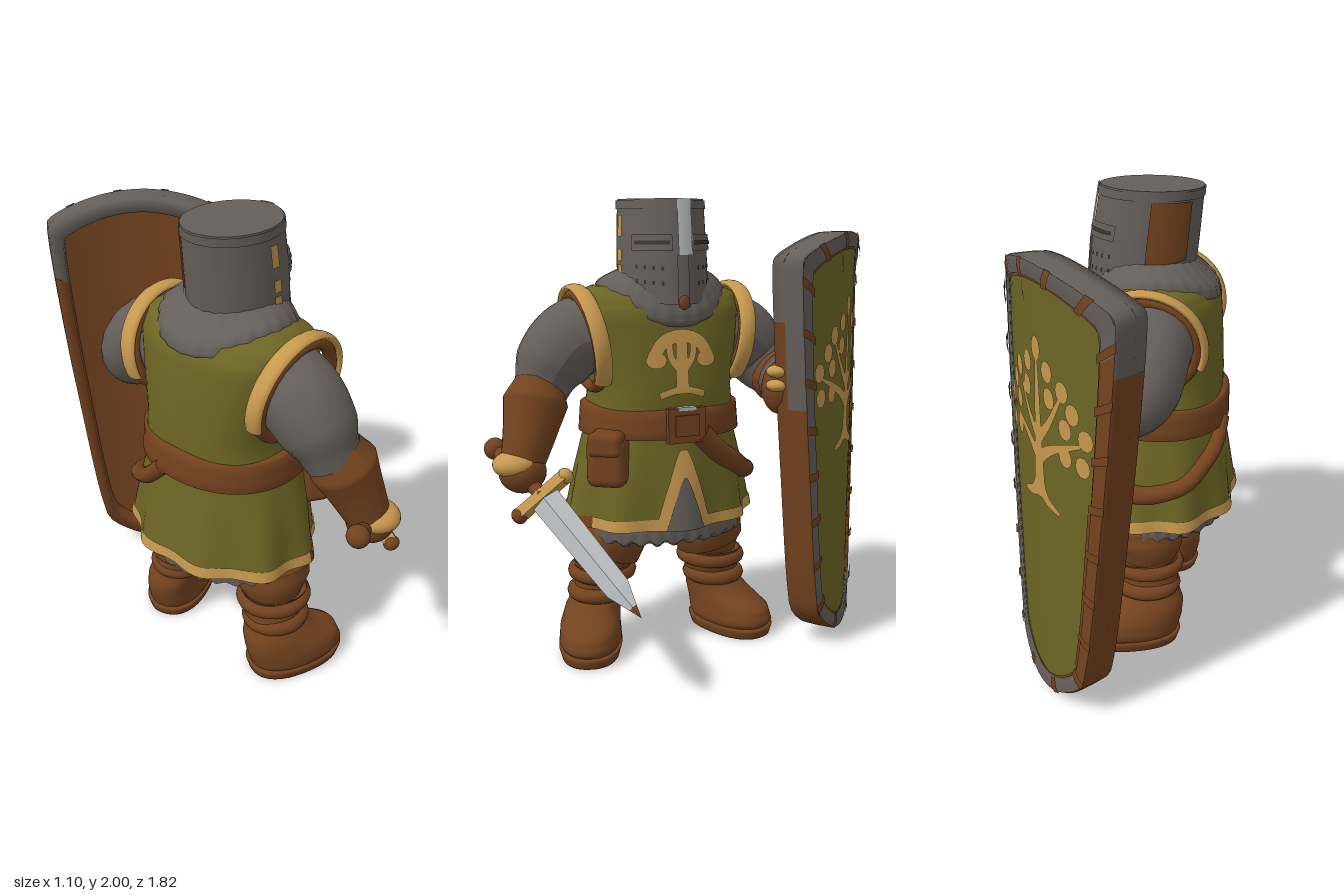
import * as THREE from 'three';
import { mergeVertices } from 'three/addons/utils/BufferGeometryUtils.js';
import { RoundedBoxGeometry } from 'three/addons/geometries/RoundedBoxGeometry.js';

const V = (x, y, z) => new THREE.Vector3(x, y, z);
const mat = (name, color) => new THREE.MeshStandardMaterial({ name, color, side: THREE.DoubleSide });
const rad = THREE.MathUtils.degToRad;

// Smooth grid surface from a rule f(u, v), both 0..1
function surface(f, nu, nv) {
  const pos = [], idx = [];
  for (let j = 0; j <= nv; j++) for (let i = 0; i <= nu; i++) pos.push(...f(i / nu, j / nv).toArray());
  for (let j = 0; j < nv; j++) for (let i = 0; i < nu; i++) {
    const a = j * (nu + 1) + i, b = a + nu + 1;
    idx.push(a, b, a + 1, b, b + 1, a + 1);
  }
  let g = new THREE.BufferGeometry();
  g.setAttribute('position', new THREE.Float32BufferAttribute(pos, 3));
  g.setIndex(idx);
  g = mergeVertices(g, 1e-4);
  g.computeVertexNormals();
  return g;
}

// Rounded body from sections [y, centreX, centreZ, radiusX, radiusZ]; angle 0 is the wearer's front (+x)
function loft(secs, { e = 1, mod = () => 1, dy = () => 0, n = 48 } = {}) {
  const section = y => {
    let i = 0;
    while (i < secs.length - 2 && y > secs[i + 1][0]) i++;
    const t = THREE.MathUtils.clamp((y - secs[i][0]) / (secs[i + 1][0] - secs[i][0]), 0, 1);
    return secs[i].map((v, k) => v + (secs[i + 1][k] - v) * t);
  };
  const pw = v => Math.sign(v) * Math.abs(v) ** e;
  const at = (a, y, out = 0) => {
    const [, cx, cz, rx, rz] = section(y), m = mod(a, y);
    return V(cx + (rx * m + out) * pw(Math.cos(a)), y + dy(a, y), cz + (rz * m + out) * pw(Math.sin(a)));
  };
  // Front of the body addressed by z and y
  const front = (z, y, out) => {
    const s = section(y), q = THREE.MathUtils.clamp((z - s[2]) / s[4], -1, 1);
    return at(Math.asin(Math.sign(q) * Math.abs(q) ** (1 / e)), y, out);
  };
  const N = (secs.length - 1) * 3;
  const yAt = v => {
    const k = Math.min(Math.floor(v * (secs.length - 1)), secs.length - 2), t = v * (secs.length - 1) - k;
    return secs[k][0] + (secs[k + 1][0] - secs[k][0]) * t;
  };
  return { at, front, geo: surface((u, v) => at(u * Math.PI * 2, yAt(v)), n, N) };
}
const patch = (at, a0, a1, y0, y1, out = 0.006) =>
  surface((u, v) => at(rad(a0 + (a1 - a0) * u), y0 + (y1 - y0) * v, out), Math.max(2, Math.ceil(Math.abs(a1 - a0) / 4)), 3);

// Painted stroke and leaf laid onto a surface map(a, b, out)
function stroke(map, pts, w0, w1, out = 0.007) {
  const c = new THREE.SplineCurve(pts.map(p => new THREE.Vector2(...p)));
  return surface((u, v) => {
    const p = c.getPoint(v), t = c.getTangent(v), w = (w0 + (w1 - w0) * v) * (u - 0.5);
    return map(p.x - t.y * w, p.y + t.x * w, out);
  }, 6, 14);
}
const leaf = (map, x, y, rx, ry, out = 0.008) =>
  surface((u, v) => map(x + rx * v * Math.cos(u * 6.2832), y + ry * v * Math.sin(u * 6.2832), out), 10, 2);

// Tube with a varying radius
function limb(pts, radii, sides = 20) {
  const c = new THREE.CatmullRomCurve3(pts.map(p => V(...p))), N = 28;
  const g = new THREE.TubeGeometry(c, N, 1, sides), p = g.attributes.position, v = V();
  for (let i = 0; i < p.count; i++) {
    const t = Math.floor(i / (sides + 1)) / N, o = c.getPointAt(t);
    const k = Math.min(Math.floor(t * (radii.length - 1)), radii.length - 2), f = t * (radii.length - 1) - k;
    v.fromBufferAttribute(p, i).sub(o).multiplyScalar(radii[k] + (radii[k + 1] - radii[k]) * f).add(o);
    p.setXYZ(i, v.x, v.y, v.z);
  }
  g.computeVertexNormals();
  return g;
}

export function createModel() {
  const root = new THREE.Group();
  root.name = 'knight';
  const iron = mat('iron', 0x655f5a), cloth = mat('olive cloth', 0x6c6524), gold = mat('gold', 0xc6984e);
  const leather = mat('leather', 0x74431f), steel = mat('steel', 0xb6babd), dark = mat('dark iron', 0x3b3633);
  const add = (name, geo, m, parent = root, p = [0, 0, 0], s = [1, 1, 1], r = [0, 0, 0]) => {
    const o = new THREE.Mesh(geo, m);
    o.name = name;
    o.position.set(...p); o.scale.set(...s); o.rotation.set(...r);
    parent.add(o);
  };
  const ball = new THREE.SphereGeometry(1, 20, 14);

  // Tunic body and skirt over a mail skirt
  const torso = loft([[1.02, -0.19, 0.12, 0.28, 0.33], [1.2, -0.185, 0.12, 0.285, 0.305], [1.4, -0.185, 0.13, 0.27, 0.345],
    [1.53, -0.185, 0.14, 0.255, 0.37], [1.6, -0.185, 0.14, 0.205, 0.36], [1.635, -0.185, 0.14, 0.12, 0.28], [1.65, -0.185, 0.14, 0.005, 0.005]], { e: 0.75 });
  add('tunic', torso.geo, cloth);
  const skirt = loft([[0.6, -0.21, 0.12, 0.335, 0.43], [0.8, -0.2, 0.12, 0.315, 0.395], [1.04, -0.19, 0.12, 0.285, 0.335]],
    { mod: (a, y) => 1 + 0.1 * (1.04 - y) * Math.cos(a * 9), n: 96 });
  add('skirt', skirt.geo, cloth);
  add('skirtHem', patch(skirt.at, 82, 422, 0.6, 0.65), gold);
  add('skirtHemPatch', patch(skirt.at, 62, 82, 0.6, 0.65), leather);
  add('splitBorder', stroke(skirt.front, [[0.125, 0.95], [0.125, 0.78], [0.125, 0.6]], 0.03, 0.28, 0.008), gold);
  add('splitMail', stroke(skirt.front, [[0.125, 0.83], [0.125, 0.72], [0.125, 0.6]], 0.01, 0.18, 0.014), iron);
  add('mailSkirt', loft([[0.525, -0.2, 0.12, 0.005, 0.005], [0.53, -0.2, 0.12, 0.28, 0.36], [0.55, -0.2, 0.12, 0.31, 0.39], [0.75, -0.2, 0.12, 0.3, 0.37]],
    { mod: a => 1 + 0.01 * Math.cos(a * 40), dy: (a, y) => y < 0.57 && y > 0.527 ? 0.01 * Math.cos(a * 30) - 0.005 : 0, n: 160 }).geo, iron);

  // Flat armhole trims with a leather lining inside
  for (const s of [1, -1]) {
    const band = (a, b, size, thick, wide) => surface((u, v) => {
      const t = rad(a + (b - a) * u), w = v * 6.2832, r = size + thick * Math.cos(w);
      return V(-0.18 + r * 1.06 * Math.cos(t), 1.4 + r * Math.sin(t), 0.135 + s * (0.33 + 0.035 * Math.sin(t) + wide * Math.sin(w)));
    }, 40, 10);
    add('armholeTrim', band(-45, 200, 0.23, 0.016, 0.038), gold);
    add('armholeLining', band(0, 360, 0.2, 0.024, 0.03), leather);
  }

  // Chest emblem
  const T = torso.front, cz = 0.125;
  add('chestTrunk', stroke(T, [[cz, 1.19], [cz, 1.3], [cz, 1.42]], 0.06, 0.05), gold);
  add('chestRoots', stroke(T, [[cz - 0.1, 1.185], [cz, 1.21], [cz + 0.1, 1.185]], 0.03, 0.03), gold);
  add('chestCrown', stroke(T, [[cz - 0.125, 1.34], [cz - 0.08, 1.41], [cz, 1.435], [cz + 0.08, 1.41], [cz + 0.125, 1.34]], 0.055, 0.055), gold);
  for (const s of [1, -1]) {
    add('chestBranch', stroke(T, [[cz, 1.28], [cz + s * 0.045, 1.34], [cz + s * 0.055, 1.41]], 0.03, 0.03), gold);
    add('chestLeaf', leaf(T, cz + s * 0.11, 1.335, 0.045, 0.035), gold);
  }

  // Belt, buckle, pouch and hanging strap
  add('belt', loft([[0.995, -0.19, 0.12, 0.28, 0.33], [1.0, -0.19, 0.12, 0.315, 0.36], [1.12, -0.19, 0.12, 0.31, 0.35], [1.13, -0.19, 0.12, 0.27, 0.31]], { e: 0.92 }).geo, leather);
  add('buckleFrame', new THREE.BoxGeometry(0.03, 0.15, 0.17), leather, root, [0.125, 1.06, 0.12]);
  add('bucklePlate', new THREE.BoxGeometry(0.03, 0.09, 0.11), leather, root, [0.134, 1.06, 0.12]);
  add('buckleShine', new THREE.BoxGeometry(0.03, 0.015, 0.08), steel, root, [0.13, 1.132, 0.12]);
  const pouch = new THREE.Group();
  pouch.name = 'pouch'; pouch.position.set(0.01, 0.91, 0.43); pouch.rotation.y = -0.6; root.add(pouch);
  add('pouchBag', new RoundedBoxGeometry(0.13, 0.22, 0.17, 3, 0.04), leather, pouch);
  add('pouchFlap', new RoundedBoxGeometry(0.145, 0.11, 0.15, 3, 0.03), leather, pouch, [0, 0.075, 0]);
  const strapPts = [];
  for (let i = 0; i <= 10; i++) strapPts.push(skirt.at(rad(-12 - 15.5 * i), 1.02 - 0.25 * Math.sin(Math.PI * i / 10) ** 0.8, 0.01).toArray());
  add('hangingStrap', limb(strapPts, [0.05, 0.045, 0.035, 0.035]), leather);

  // Mail collar
  add('mailCollar', loft([[1.5, -0.17, 0.12, 0.25, 0.26], [1.515, -0.17, 0.12, 0.275, 0.285], [1.56, -0.165, 0.12, 0.27, 0.275], [1.62, -0.15, 0.12, 0.235, 0.24], [1.69, -0.14, 0.12, 0.19, 0.18]],
    { mod: a => 1 + 0.012 * Math.cos(a * 26), dy: (a, y) => (-0.03 * Math.cos(a) + 0.085 * Math.sin(a) ** 2) * Math.min(1, (1.72 - y) / 0.15), n: 104 }).geo, iron);

  // Great helm
  const helm = loft([[1.61, -0.115, 0.125, 0.22, 0.192], [1.76, -0.125, 0.125, 0.22, 0.19], [1.995, -0.15, 0.12, 0.212, 0.18]], {
    mod: (a, y) => 1 + (0.07 - 0.1 * Math.max(0, y - 1.6)) * Math.max(0, Math.cos(a)) ** 12,
    dy: (a, y) => -0.045 * Math.cos(a) * THREE.MathUtils.clamp((1.78 - y) / 0.17, 0, 1), n: 72 });
  add('helm', helm.geo, iron);
  add('helmTop', surface((u, v) => helm.at(u * 6.28319, 1.995).lerp(V(-0.15, 1.99, 0.12), v), 72, 2), iron);
  add('helmBand', patch(helm.at, 0, 360, 1.955, 1.99, 0.005), iron);
  add('helmRidge', patch(helm.at, -14, 5, 1.77, 1.995, 0.009), steel);
  add('helmNose', patch(helm.at, -7, 7, 1.6, 1.77, 0.009), iron);
  add('helmPoint', ball, leather, root, [0.125, 1.575, 0.125], [0.015, 0.03, 0.025]);
  add('helmPatch', patch(helm.at, -146, -98, 1.69, 1.95), leather);
  for (const [y, h] of [[1.69, 0.035], [1.74, 0.05], [1.84, 0.09]]) add('helmGoldStrip', patch(helm.at, 82, 93, y, y + h), gold);
  for (const s of [1, -1]) {
    add('eyeFrame', patch(helm.at, s * 12, s * 62, 1.785, 1.85, 0.009), iron);
    add('eyeSlit', patch(helm.at, s * 15, s * 58, 1.81, 1.826, 0.013), dark);
    for (let i = 0; i < 8; i++) {
      const a = 22 + (i % 4) * 11, y = 1.67 + Math.floor(i / 4) * 0.05;
      add('breathHole', patch(helm.at, s * a, s * (a + 3), y, y + 0.014, 0.004), dark);
    }
  }

  // Legs and boots, toes turned outward
  for (const s of [1, -1]) {
    const leg = new THREE.Group();
    leg.name = s > 0 ? 'rightLeg' : 'leftLeg';
    leg.position.set(-0.19, 0, 0.13 + s * 0.33); leg.rotation.y = -s * 0.35; root.add(leg);
    add('thigh', limb([[-0.02, 0.62, -s * 0.1], [-0.02, 0.52, -s * 0.09], [-0.02, 0.43, -s * 0.06], [0, 0.36, -s * 0.05]], [0.14, 0.17, 0.16, 0.1]), leather, leg);
    add('boot', loft([[0.03, 0.05, 0, 0.2, 0.12], [0.07, 0.06, 0, 0.225, 0.14], [0.13, 0.04, 0, 0.22, 0.135],
      [0.19, -0.02, -s * 0.01, 0.165, 0.125], [0.25, -0.04, -s * 0.03, 0.125, 0.11], [0.33, -0.03, -s * 0.05, 0.13, 0.115], [0.4, -0.02, -s * 0.06, 0.145, 0.13]], { e: 0.9 }).geo, leather, leg);
    add('sole', loft([[0, 0.055, 0, 0.005, 0.005], [0.001, 0.055, 0, 0.215, 0.13], [0.045, 0.055, 0, 0.228, 0.142], [0.05, 0.055, 0, 0.19, 0.12]], { e: 0.85 }).geo, leather, leg);
    for (const [y, r, z] of [[0.36, 0.12, -0.055], [0.265, 0.105, -0.035]])
      add('bootBand', new THREE.TorusGeometry(r, 0.035, 10, 28), leather, leg, [-0.025, y, s * z], [1.08, 1, 1], [Math.PI / 2, 0, 0]);
  }

  // Sword arm
  add('rightSleeve', limb([[-0.2, 1.43, 0.38], [-0.21, 1.41, 0.5], [-0.21, 1.31, 0.6], [-0.19, 1.17, 0.67]], [0.16, 0.175, 0.17, 0.165, 0.155, 0.125, 0.11]), iron);
  add('rightGauntlet', limb([[-0.185, 1.24, 0.665], [-0.17, 1.19, 0.68], [-0.12, 1.04, 0.73], [-0.08, 0.9, 0.78]], [0.1, 0.138, 0.12, 0.105, 0.09]), leather);
  add('rightHand', ball, leather, root, [-0.07, 0.88, 0.78], [0.1, 0.09, 0.1]);
  add('rightKnuckles', ball, gold, root, [-0.07, 0.915, 0.805], [0.095, 0.06, 0.1]);

  // Sword: local y runs along the blade, local x along the guard
  const sword = new THREE.Group(), blade = V(0.48, -0.37, -0.23).normalize(), side = V(0.08, 0.15, -0.25);
  const flat = side.clone().cross(blade).normalize();
  sword.name = 'sword';
  sword.setRotationFromMatrix(new THREE.Matrix4().makeBasis(blade.clone().cross(flat), blade, flat));
  sword.position.set(0.05, 0.8, 0.73); root.add(sword);
  const facet = (r0, r1, h) => {
    const g = new THREE.CylinderGeometry(r0, r1, h, 4).toNonIndexed();
    g.computeVertexNormals();
    return g;
  };
  add('blade', facet(0.052, 0.064, 0.52), steel, sword, [0, 0.26, 0], [1, 1, 0.38]);
  add('bladeTaper', facet(0.018, 0.052, 0.1), steel, sword, [0, 0.57, 0], [1, 1, 0.38]);
  add('bladeTip', facet(0, 0.018, 0.055), leather, sword, [0, 0.6475, 0], [1, 1, 0.38]);
  add('guard', new THREE.BoxGeometry(0.24, 0.045, 0.055), gold, sword);
  for (const s of [1, -1]) add('guardEnd', ball, s > 0 ? gold : leather, sword, [s * 0.125, 0, 0], [0.03, 0.035, 0.035]);
  add('grip', limb([[0.05, 0.8, 0.73], [-0.1, 0.88, 0.79], [-0.25, 0.94, 0.845]], [0.03, 0.03]), leather);
  add('pommel', ball, leather, root, [-0.26, 0.945, 0.85], [0.045, 0.048, 0.048]);

  // Shield arm
  add('leftSleeve', limb([[-0.2, 1.43, -0.1], [-0.21, 1.4, -0.28], [-0.2, 1.28, -0.4], [-0.09, 1.2, -0.445], [0.08, 1.2, -0.42]], [0.16, 0.175, 0.16, 0.14, 0.1, 0.08]), iron);
  add('armStrap', limb([[-0.12, 1.21, -0.442], [-0.06, 1.2, -0.447]], [0.13, 0.13]), leather);
  add('leftGauntlet', limb([[0.03, 1.2, -0.43], [0.08, 1.2, -0.41], [0.14, 1.21, -0.35], [0.17, 1.22, -0.28]], [0.05, 0.12, 0.11, 0.095, 0.03]), leather);
  add('leftHand', ball, leather, root, [0.18, 1.2, -0.3], [0.085, 0.115, 0.08]);
  for (const y of [1.22, 1.28]) add('leftKnuckles', ball, gold, root, [0.225, y, -0.262], [0.048, 0.028, 0.05]);

  // Curved shield: s runs across, y up, d outward from the face
  const shield = new THREE.Group();
  shield.name = 'shield'; root.add(shield);
  const S = (s, y, d = 0) => {
    const h = 0.1 * (1 - (s / 0.43) ** 2) + d, a = s + 0.45 * s * d;
    return V(0.06 + 0.68 * a + 0.73 * h, y, -0.59 + 0.73 * a - 0.68 * h);
  };
  const half = [[0.1, 0.05], [0.25, 0.16], [0.285, 0.28], [0.355, 0.87], [0.395, 1.3], [0.42, 1.7], [0.415, 1.755], [0.37, 1.785], [0.2, 1.84]];
  const loop = [[0, 0.03], ...half, [0, 1.862], ...half.map(([s, y]) => [-s, y]).reverse()];
  const outline = new THREE.CatmullRomCurve3(loop.map(([s, y]) => V(s, y, 0)), true, 'centripetal');
  const ring = (u, k, d) => {
    const p = outline.getPointAt((u + 1) % 1);
    return S(p.x * (1 - 0.16 * k), 0.95 + (p.y - 0.95) * (1 - 0.075 * k), d);
  };
  const panel = d => surface((u, v) => {
    const p = outline.getPointAt(u % 1);
    return S(p.x * 0.9 * v, 0.95 + (p.y - 0.95) * 0.95 * v, d);
  }, 96, 10);
  add('shieldField', panel(0), cloth, shield);
  add('shieldBack', panel(-0.07), leather, shield);
  const rim = (u0, u1, prof, n = 64) => surface((u, v) => {
    const t = v * (prof.length - 1), i = Math.min(Math.floor(t), prof.length - 2), f = t - i;
    return ring(u0 + (u1 - u0) * u, prof[i][0] + (prof[i + 1][0] - prof[i][0]) * f, prof[i][1] + (prof[i + 1][1] - prof[i][1]) * f);
  }, n, prof.length - 1);
  const face = [[1, 0], [0.95, 0.014], [0.08, 0.014]], edge = [[0.08, 0.014], [0, 0.004], [0, -0.07]];
  const back = [[0, -0.07], [0.05, -0.125], [0.9, -0.125], [1, -0.07]];
  add('shieldRim', rim(-0.06, 0.62, face), iron, shield);
  add('shieldRimLeather', rim(0.62, 0.94, face), leather, shield);
  for (const [part, prof, u] of [['shieldEdge', edge, 0.27], ['shieldRimBack', back, 0.35]]) {
    add(part, rim(-0.36, u, prof), leather, shield);
    add(part + 'Top', rim(u, 0.64, prof), iron, shield);
  }
  add('shieldInnerLine', rim(0, 0.999999, [[0.98, 0.005], [1.12, 0.005]], 96), leather, shield);
  add('shieldWornEdge', rim(0.76, 0.93, [[0.98, 0.006], [1.3, 0.006]], 24), leather, shield);
  for (let i = 0; i < 22; i++) add('shieldClasp', rim(i / 22 + 0.02, i / 22 + 0.028, [[1.05, 0.02], [0.45, 0.024], [0, 0.016]], 2), leather, shield);
  add('shieldGrip', limb([S(0.3, 1.12, -0.08), S(0.3, 1.22, -0.16), S(0.3, 1.32, -0.08)].map(p => p.toArray()), [0.025, 0.025]), leather, shield);

  // Shield tree
  add('treeTrunk', stroke(S, [[0, 0.93], [0, 1.15], [0, 1.5]], 0.1, 0.02), gold, shield);
  add('shieldFleck', stroke(S, [[0.1, 1.69], [0.1, 1.76]], 0.014, 0.014), gold, shield);
  const leaves = [[0.075, 1.47], [0.165, 1.42], [0.085, 1.37], [0.22, 1.35], [0.285, 1.27], [0.18, 1.28], [0.27, 1.16], [0.18, 1.17]];
  for (const s of [1, -1]) {
    add('treeRoot', stroke(S, [[0, 1.0], [s * 0.05, 0.94], [s * 0.14, 0.91]], 0.08, 0.015), gold, shield);
    add('treeBranch', stroke(S, [[0, 1.1], [s * 0.1, 1.17], [s * 0.26, 1.24]], 0.06, 0.015), gold, shield);
    add('treeBranch', stroke(S, [[0, 1.18], [s * 0.08, 1.27], [s * 0.16, 1.4]], 0.05, 0.015), gold, shield);
    for (const [x, y] of leaves) add('treeLeaf', leaf(S, s * x, y, 0.037, 0.043), gold, shield);
  }
  add('treeLeaf', leaf(S, 0, 1.54, 0.034, 0.05), gold, shield);
  return root;
}
